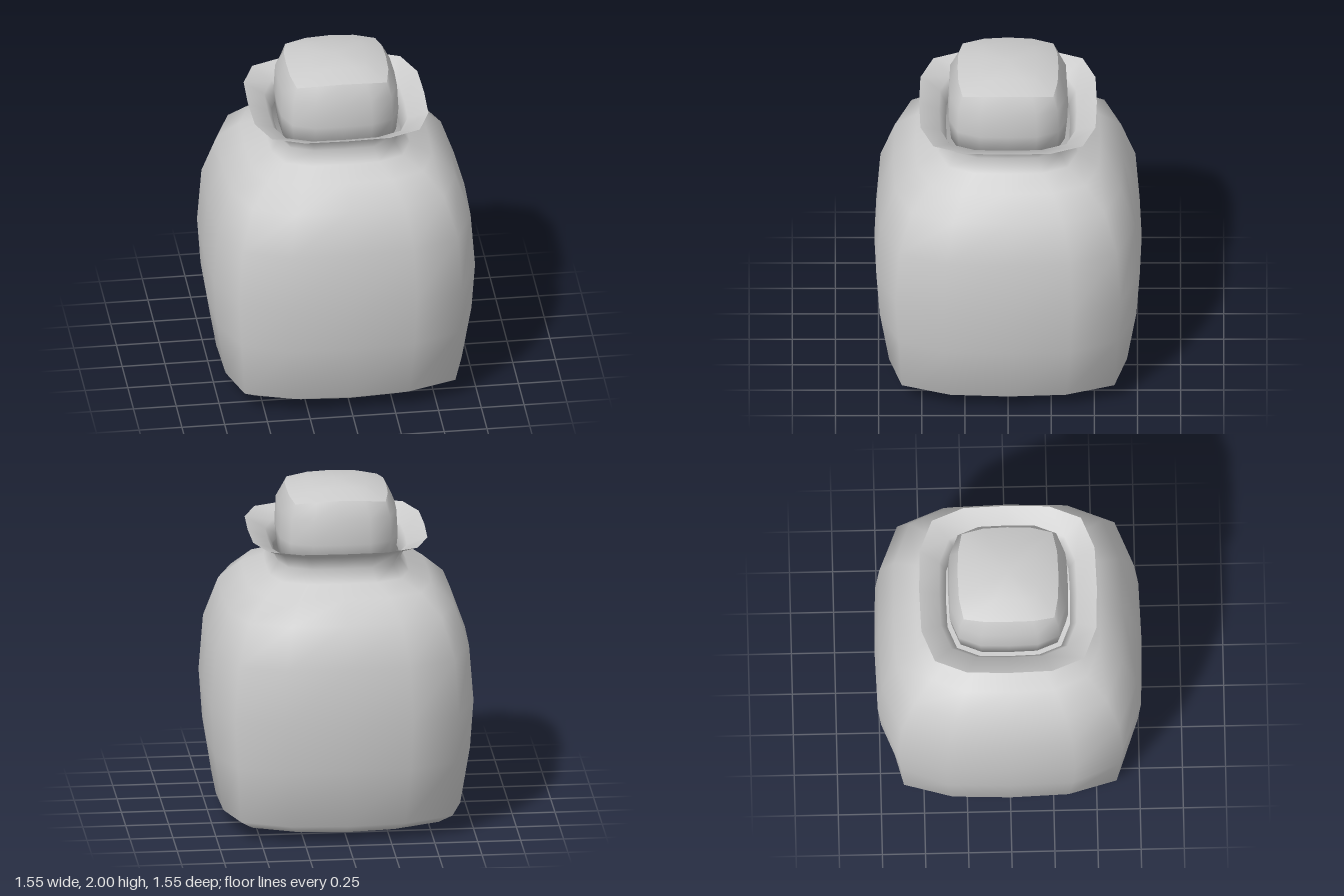
import * as THREE from 'three';

const material = new THREE.MeshStandardMaterial({ color: 0xcccccc, side: THREE.DoubleSide });

// Sixteen-sided rounded-square ring: half width r, height y, corner ratio c, corner offset dy.
function ring([r, y, c = 0.84, dy = 0]) {
  const quarter = [[1, 0, 0], [0.985, 0.48, 0.25], [c, c, 1], [0.48, 0.985, 0.25]];
  const points = [];
  for (let q = 0; q < 4; q++) {
    for (const [a, b, k] of quarter) {
      const [x, z] = [[a, b], [-b, a], [-a, -b], [b, -a]][q];
      points.push(x * r, y + dy * k, z * r);
    }
  }
  return points;
}

// Skin a list of rings from bottom to top; optional centre heights close the ends.
function skin(name, rings, bottomY, topY) {
  const n = 16;
  const positions = rings.flatMap(ring);
  const index = [];
  for (let i = 0; i < rings.length - 1; i++) {
    for (let j = 0; j < n; j++) {
      const a = i * n + j, b = i * n + (j + 1) % n;
      index.push(a, a + n, b, b, a + n, b + n);
    }
  }
  const cap = (y, start, up) => {
    const centre = positions.length / 3;
    positions.push(0, y, 0);
    for (let j = 0; j < n; j++) {
      const a = start + j, b = start + (j + 1) % n;
      index.push(centre, up ? b : a, up ? a : b);
    }
  };
  if (bottomY !== undefined) cap(bottomY, 0, false);
  if (topY !== undefined) cap(topY, (rings.length - 1) * n, true);
  const geometry = new THREE.BufferGeometry();
  geometry.setAttribute('position', new THREE.Float32BufferAttribute(positions, 3));
  geometry.setIndex(index);
  geometry.computeVertexNormals();
  const mesh = new THREE.Mesh(geometry, material);
  mesh.name = name;
  return mesh;
}

export function createModel() {
  const model = new THREE.Group();
  model.name = 'bottle';

  // Bulging square body, pinched neck and open flared lip
  model.add(skin('body', [
    [0.33, 0.005, 0.92, 0.005],
    [0.59, 0.03, 0.92, 0.03],
    [0.7, 0.1, 0.88, 0.02],
    [0.755, 0.45],
    [0.775, 0.74],
    [0.75, 1.07],
    [0.665, 1.31],
    [0.535, 1.43],
    [0.41, 1.485],
    [0.36, 1.56],
    [0.4, 1.645],
    [0.515, 1.7],
  ], 0));

  // Stopper: sides and a domed top meeting at a crease
  const stopper = new THREE.Group();
  stopper.name = 'stopper';
  const crease = [0.292, 1.952, 0.9, -0.022];
  stopper.add(skin('stopperSide', [
    [0.335, 1.56],
    [0.348, 1.7],
    [0.34, 1.85],
    crease,
  ], 1.56));
  stopper.add(skin('stopperTop', [crease, [0.17, 1.99, 0.93, -0.006]], undefined, 2));
  model.add(stopper);

  return model;
}
